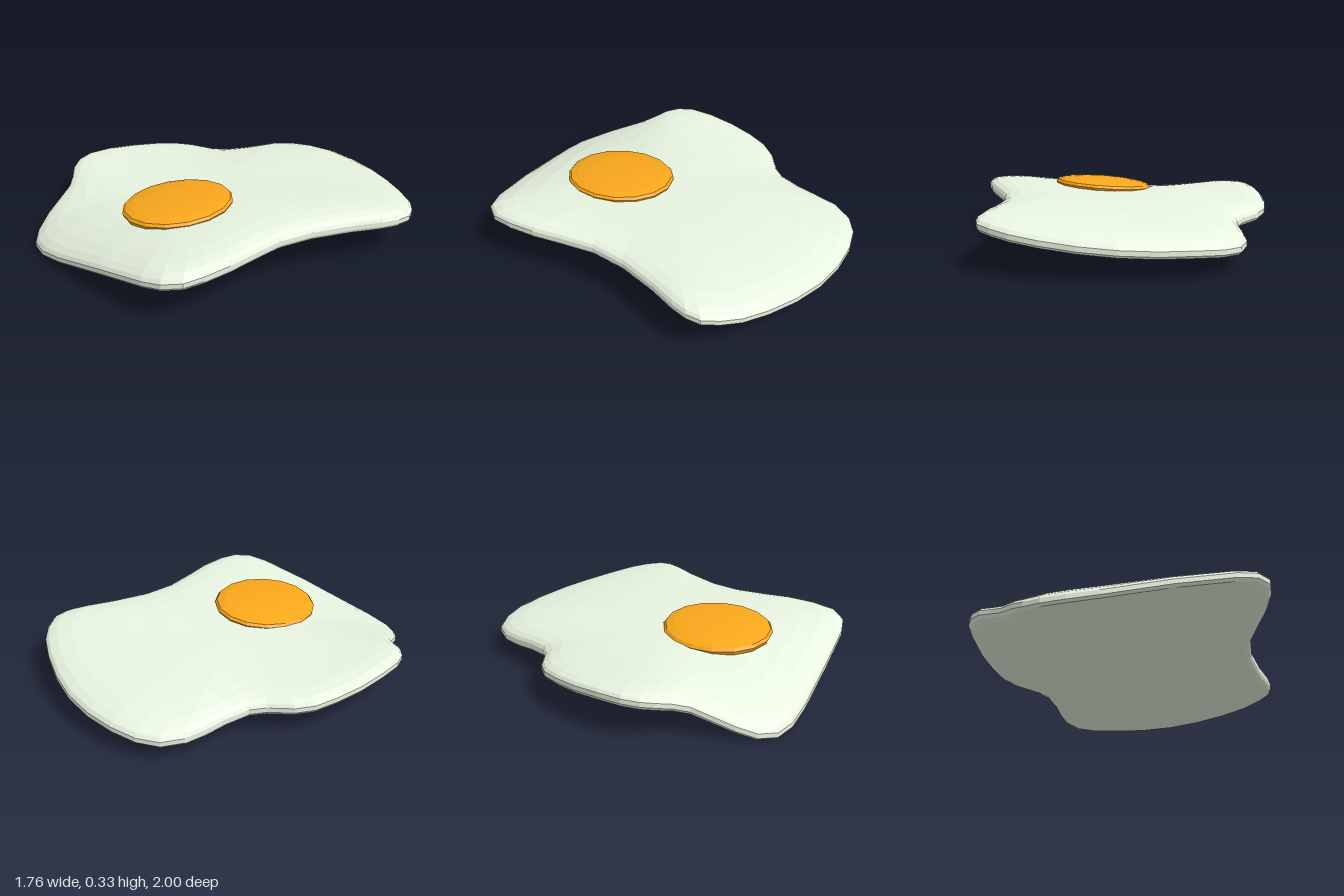
import * as THREE from 'three';

// Rim of the egg white, clockwise from the back: x, z, height of the rim
const RIM = [
  [-0.10, -1.0, 0.135], [0.08, -1.0, 0.14], [0.27, -0.97, 0.15], [0.45, -0.91, 0.165],
  [0.62, -0.83, 0.185], [0.75, -0.75, 0.205], [0.83, -0.67, 0.22], [0.88, -0.59, 0.23],
  [0.88, -0.51, 0.235], [0.85, -0.42, 0.235], [0.78, -0.27, 0.235], [0.70, -0.05, 0.235],
  [0.67, 0.15, 0.24], [0.69, 0.35, 0.245], [0.71, 0.5, 0.25], [0.71, 0.66, 0.25],
  [0.69, 0.77, 0.245], [0.62, 0.85, 0.235], [0.51, 0.89, 0.215], [0.2, 0.94, 0.15],
  [-0.15, 0.985, 0.065], [-0.31, 0.995, 0.035], [-0.43, 0.975, 0.025], [-0.52, 0.91, 0.04],
  [-0.58, 0.82, 0.08], [-0.67, 0.62, 0.165], [-0.73, 0.56, 0.19], [-0.80, 0.51, 0.21],
  [-0.85, 0.45, 0.22], [-0.88, 0.36, 0.225], [-0.88, 0.22, 0.22], [-0.86, 0.06, 0.205],
  [-0.82, -0.09, 0.19], [-0.77, -0.21, 0.175], [-0.70, -0.29, 0.165], [-0.58, -0.37, 0.155],
  [-0.52, -0.44, 0.15], [-0.48, -0.57, 0.14], [-0.46, -0.69, 0.13], [-0.43, -0.81, 0.125],
  [-0.36, -0.91, 0.12], [-0.25, -0.97, 0.125],
];

// Section from the middle to the rim: fraction of the way out, half thickness
const SECTION = [
  [0, 0.07], [0.2, 0.07], [0.4, 0.07], [0.6, 0.068], [0.75, 0.064],
  [0.87, 0.057], [0.945, 0.045], [0.985, 0.03], [1, 0.013],
];

function eggWhiteGeometry() {
  const cx = 0, cz = 0.1, n = RIM.length;
  // over the top to the rim, then back underneath to the middle
  const loop = [
    ...SECTION,
    ...SECTION.slice().reverse().map(([t, h]) => [t, -h]),
  ];
  const positions = [], index = [];
  for (const [t, h] of loop) {
    const blend = Math.pow(t, 2.5);
    for (const [rx, rz, ry] of RIM) {
      const x = THREE.MathUtils.lerp(cx, rx, t);
      const z = THREE.MathUtils.lerp(cz, rz, t);
      const sheet = 0.205 + 0.05 * x;
      positions.push(x, THREE.MathUtils.lerp(sheet, ry, blend) + h, z);
    }
  }
  const last = loop.length - 2;
  for (let k = 0; k <= last; k++) {
    for (let i = 0; i < n; i++) {
      const j = (i + 1) % n;
      const a = k * n + i, b = k * n + j, c = b + n, d = a + n;
      if (k > 0) index.push(a, b, c);
      if (k < last) index.push(a, c, d);
    }
  }
  const geometry = new THREE.BufferGeometry();
  geometry.setAttribute('position', new THREE.Float32BufferAttribute(positions, 3));
  geometry.setIndex(index);
  geometry.computeVertexNormals();
  return geometry;
}

// Flattened dome, 16 sided, tilted with the white below it
function yolkGeometry() {
  const profile = [
    [0, -0.05], [0.88, -0.05], [0.97, -0.025], [1, -0.005], [0.96, 0.01],
    [0.82, 0.022], [0.55, 0.032], [0.28, 0.037], [0, 0.038],
  ].map(([r, y]) => new THREE.Vector2(r, y));
  const geometry = new THREE.LatheGeometry(profile, 16);
  geometry.scale(0.285, 1, 0.31);
  const p = geometry.attributes.position;
  for (let i = 0; i < p.count; i++) {
    p.setY(i, p.getY(i) + 0.08 * p.getX(i) - 0.03 * p.getZ(i));
  }
  geometry.computeVertexNormals();
  return geometry;
}

export function createModel() {
  const group = new THREE.Group();
  group.name = 'friedEgg';

  const white = new THREE.Mesh(
    eggWhiteGeometry(),
    new THREE.MeshStandardMaterial({ color: 0xe8f3e0, flatShading: true }),
  );
  white.name = 'eggWhite';

  const yolk = new THREE.Mesh(
    yolkGeometry(),
    new THREE.MeshStandardMaterial({ color: 0xf9a71b, flatShading: true }),
  );
  yolk.name = 'yolk';
  yolk.position.set(0.053, 0.285, 0.345);

  group.add(white, yolk);
  return group;
}
